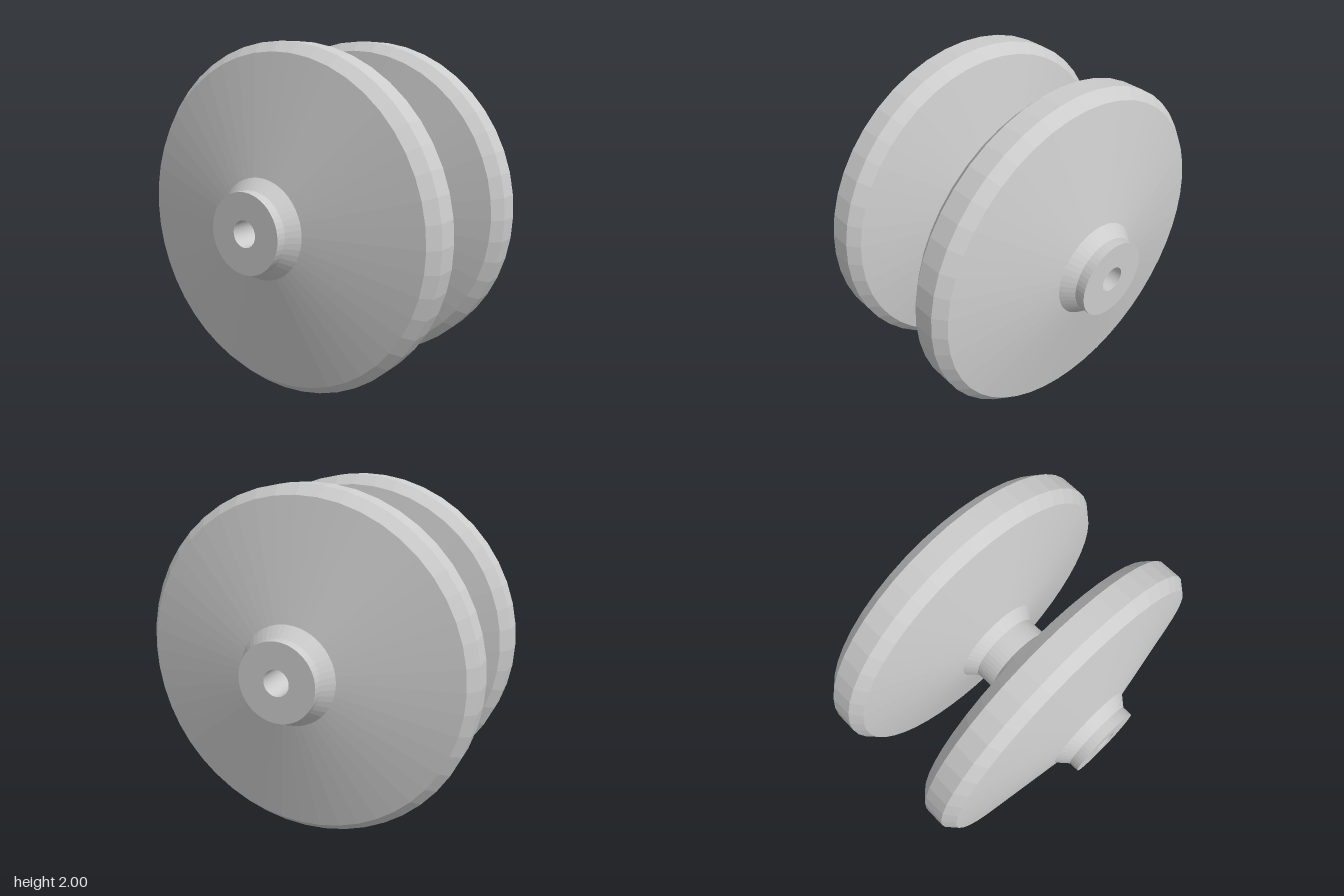
import * as THREE from 'three';

const SEGMENTS = 48;
const BORE = 0.075;

// Half of the double wheel as [radius, distance from the middle]
const PROFILE = [
  [BORE, 0.77], [BORE, 0],                // bore wall
];
const OUTER = [
  [0.227, 0], [0.227, 0.065],             // axle
  [0.285, 0.13],                          // inner collar
  [0.945, 0.26], [1, 0.322],              // inner cone and rim bevel
  [1, 0.452], [0.945, 0.515],             // tread and outer bevel
  [0.285, 0.643], [0.227, 0.71],          // outer cone and collar
  [0.227, 0.77], [BORE, 0.77],            // hub stub and end face
];

function lathe(points, material, name) {
  const profile = points.map(([r, h]) => new THREE.Vector2(r, h));
  const mesh = new THREE.Mesh(new THREE.LatheGeometry(profile, SEGMENTS), material);
  mesh.name = name;
  return mesh;
}

export function createModel() {
  const model = new THREE.Group();
  model.name = 'doubleWheel';
  const material = new THREE.MeshStandardMaterial({ color: 0xcccccc, flatShading: true });

  // Front and back halves meet in the middle of the axle
  for (const [name, side] of [['front', 1], ['back', -1]]) {
    const half = new THREE.Group();
    half.name = name + 'Half';
    half.add(
      lathe(OUTER, material, name + 'Wheel'),
      lathe(PROFILE, material, name + 'Bore'),
    );
    half.rotation.x = side * Math.PI / 2;
    half.position.y = 1;
    model.add(half);
  }
  return model;
}
